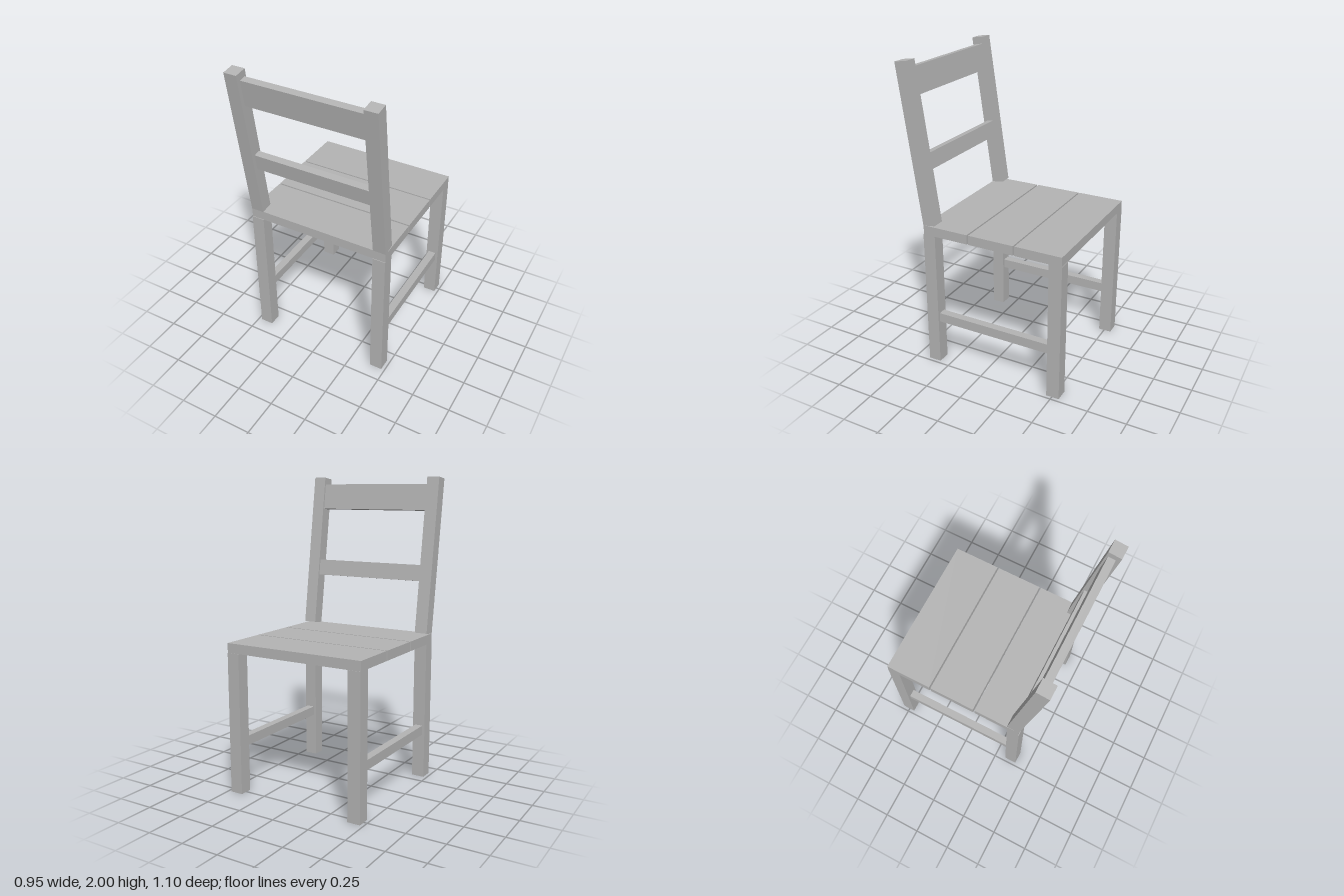
import * as THREE from 'three';

export function createModel() {
  const chair = new THREE.Group();
  chair.name = 'chair';
  const grey = new THREE.MeshStandardMaterial({ color: 0xb4b4b4 });
  grey.name = 'plain grey';

  // Box given by its min and max along each axis
  function box(name, [x0, x1], [y0, y1], [z0, z1], parent = chair) {
    const mesh = new THREE.Mesh(new THREE.BoxGeometry(x1 - x0, y1 - y0, z1 - z0), grey);
    mesh.position.set((x0 + x1) / 2, (y0 + y1) / 2, (z0 + z1) / 2);
    mesh.name = name;
    parent.add(mesh);
    return mesh;
  }

  // Seat planks with narrow gaps
  [[-0.545, -0.237], [-0.227, 0.08], [0.091, 0.404]].forEach((z, i) =>
    box('seatPlank' + (i + 1), [-0.477, 0.477], [0.918, 0.98], z));

  // Leaning backrest, in a tilted frame centred on the posts
  const back = new THREE.Group();
  back.name = 'backrest';
  back.position.set(0, 1.489, 0.4355);
  back.rotation.x = 0.1415;
  chair.add(back);

  // Legs, side stretchers and back posts, mirrored left and right
  for (const [side, s] of [['left', 1], ['right', -1]]) {
    const span = (a, b) => (s > 0 ? [a, b] : [-b, -a]);
    box(side + 'BackrestLeg', span(0.392, 0.477), [0, 0.918], [0.324, 0.408]);
    box(side + 'SeatEdgeLeg', span(0.392, 0.477), [0, 0.918], [-0.547, -0.462]);
    box(side + 'Stretcher', span(0.409, 0.46), [0.297, 0.36], [-0.462, 0.324]);
    box(side + 'BackPost', span(0.392, 0.477), [-0.51, 0.51], [-0.0415, 0.0415], back);
  }

  // Cross rails between the posts
  box('topRail', [-0.392, 0.392], [0.295, 0.465], [-0.03, 0.017], back);
  box('lowerRail', [-0.392, 0.392], [-0.17, -0.064], [-0.03, 0.017], back);

  return chair;
}
